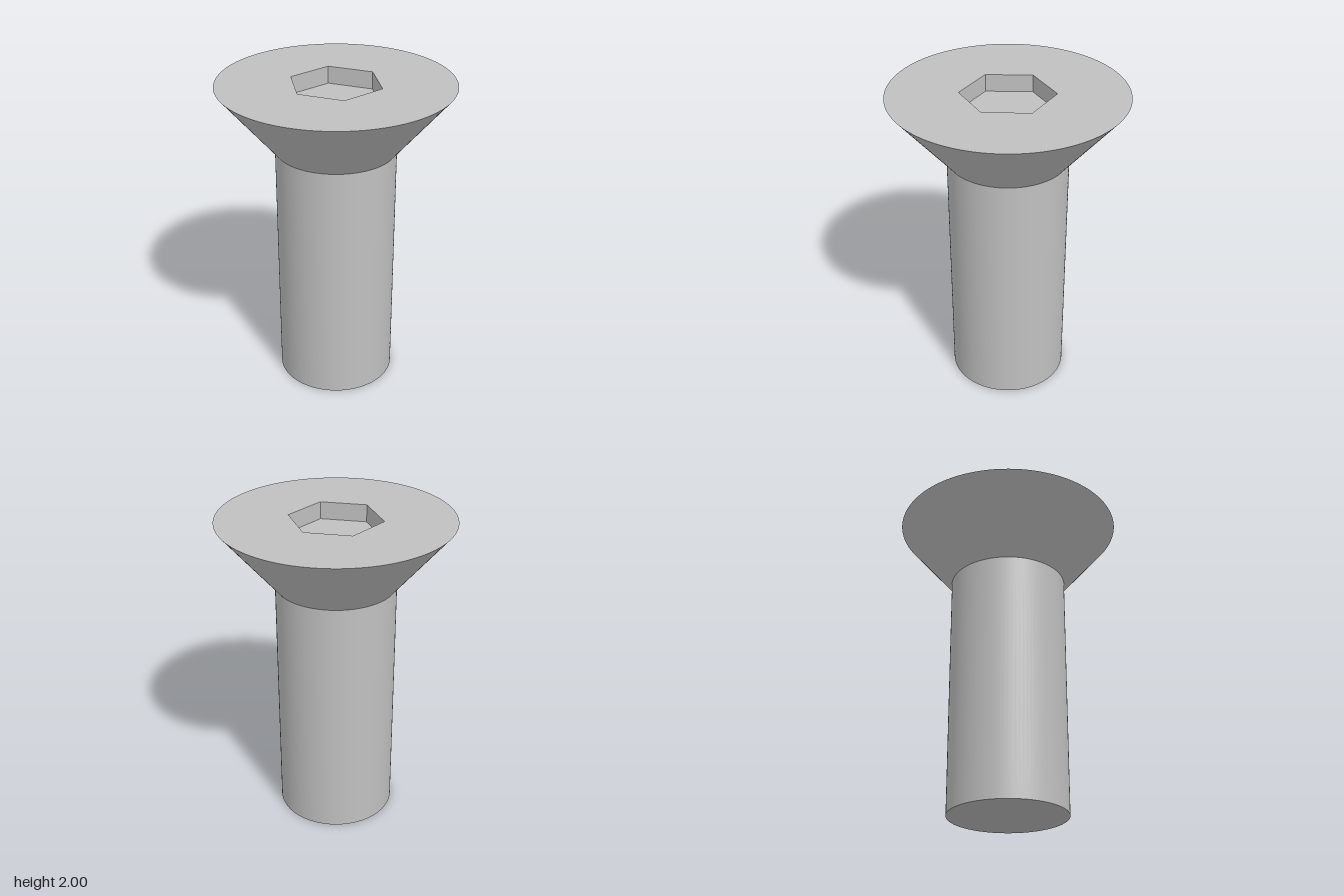
import * as THREE from 'three';

const SEGMENTS = 96;
const HEIGHT = 2;
const NECK_Y = 1.58;
const SHANK_R = 0.373;
const HEAD_R = 0.722;
const SOCKET_R = 0.289;
const SOCKET_DEPTH = 0.11;

export function createModel() {
  const steel = new THREE.MeshStandardMaterial({ color: 0xc0c0c0 });
  steel.name = 'steel grey';

  const model = new THREE.Group();
  model.name = 'countersunkScrew';
  const add = (name, geometry, y) => {
    const mesh = new THREE.Mesh(geometry, steel);
    mesh.name = name;
    mesh.position.y = y;
    model.add(mesh);
  };

  // Plain cylindrical shank and its flat end
  add('shank', new THREE.CylinderGeometry(SHANK_R, SHANK_R, NECK_Y, SEGMENTS, 1, true), NECK_Y / 2);
  add('shankEnd', new THREE.CircleGeometry(SHANK_R, SEGMENTS).rotateX(Math.PI / 2), 0);

  // Countersunk cone under the head
  add('headCone', new THREE.CylinderGeometry(HEAD_R, SHANK_R, HEIGHT - NECK_Y, SEGMENTS, 1, true), (HEIGHT + NECK_Y) / 2);

  // Hexagon with corners on the x axis
  const hexagon = Array.from({ length: 6 }, (_, i) => {
    const a = (i * Math.PI) / 3;
    return new THREE.Vector2(SOCKET_R * Math.cos(a), SOCKET_R * Math.sin(a));
  });

  // Flat head face with the hexagonal opening
  const face = new THREE.Shape().absarc(0, 0, HEAD_R, 0, Math.PI * 2, false);
  face.holes.push(new THREE.Path(hexagon));
  add('headFace', new THREE.ShapeGeometry(face, SEGMENTS).rotateX(-Math.PI / 2), HEIGHT);

  // Socket walls, turned to face inwards with one flat normal per side
  const tube = new THREE.CylinderGeometry(SOCKET_R, SOCKET_R, SOCKET_DEPTH, 6, 1, true, Math.PI / 2);
  tube.setIndex(Array.from(tube.index.array).reverse());
  const walls = tube.toNonIndexed();
  walls.computeVertexNormals();
  add('socketWalls', walls, HEIGHT - SOCKET_DEPTH / 2);

  // Socket floor
  const floor = new THREE.ShapeGeometry(new THREE.Shape(hexagon)).rotateX(-Math.PI / 2);
  add('socketFloor', floor, HEIGHT - SOCKET_DEPTH);

  return model;
}
